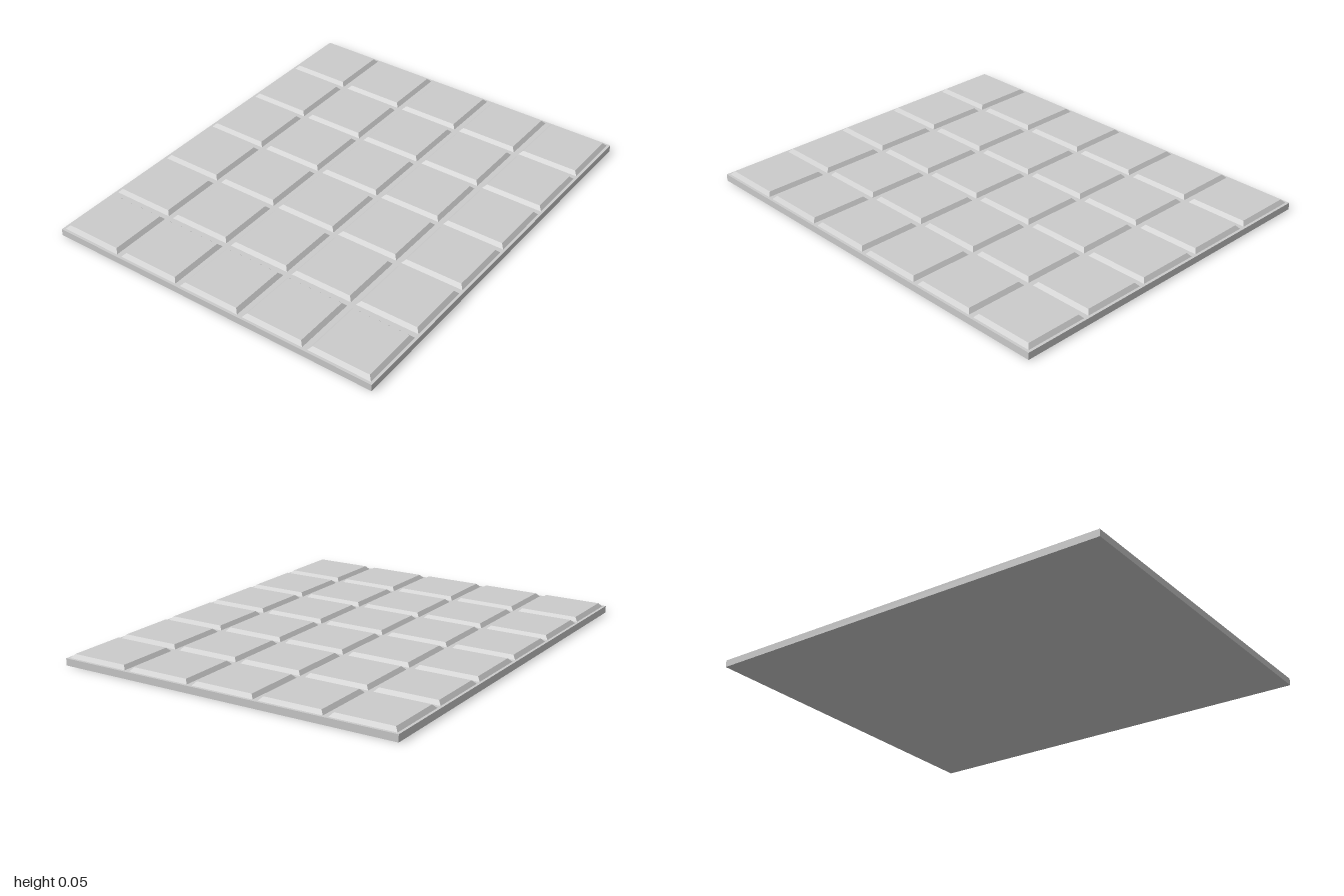
import * as THREE from 'three';

const COLS = 6, ROWS = 5;
const PITCH = 1 / 3;
const SLAB_HEIGHT = 0.033, TILE_HEIGHT = 0.017;
const TILE_BASE = 0.308, TILE_TOP = 0.276;

export function createModel() {
  const model = new THREE.Group();
  model.name = 'segmentedSlab';
  const material = new THREE.MeshStandardMaterial({ color: 0xcccccc, flatShading: true });

  // Flat base slab
  const slab = new THREE.Mesh(
    new THREE.BoxGeometry(COLS * PITCH, SLAB_HEIGHT, ROWS * PITCH), material);
  slab.name = 'baseSlab';
  slab.position.y = SLAB_HEIGHT / 2;
  model.add(slab);

  // Raised square with bevelled sides: a four-sided frustum turned to the axes
  const tileGeometry = new THREE.CylinderGeometry(
    TILE_TOP * Math.SQRT1_2, TILE_BASE * Math.SQRT1_2, TILE_HEIGHT, 4)
    .rotateY(Math.PI / 4);

  // Grid of raised squares
  const tiles = new THREE.Group();
  tiles.name = 'raisedSquares';
  for (let row = 0; row < ROWS; row++) {
    for (let col = 0; col < COLS; col++) {
      const tile = new THREE.Mesh(tileGeometry, material);
      tile.name = `raisedSquare_${row + 1}_${col + 1}`;
      tile.position.set(
        (col - (COLS - 1) / 2) * PITCH,
        SLAB_HEIGHT + TILE_HEIGHT / 2,
        (row - (ROWS - 1) / 2) * PITCH);
      tiles.add(tile);
    }
  }
  model.add(tiles);
  return model;
}
